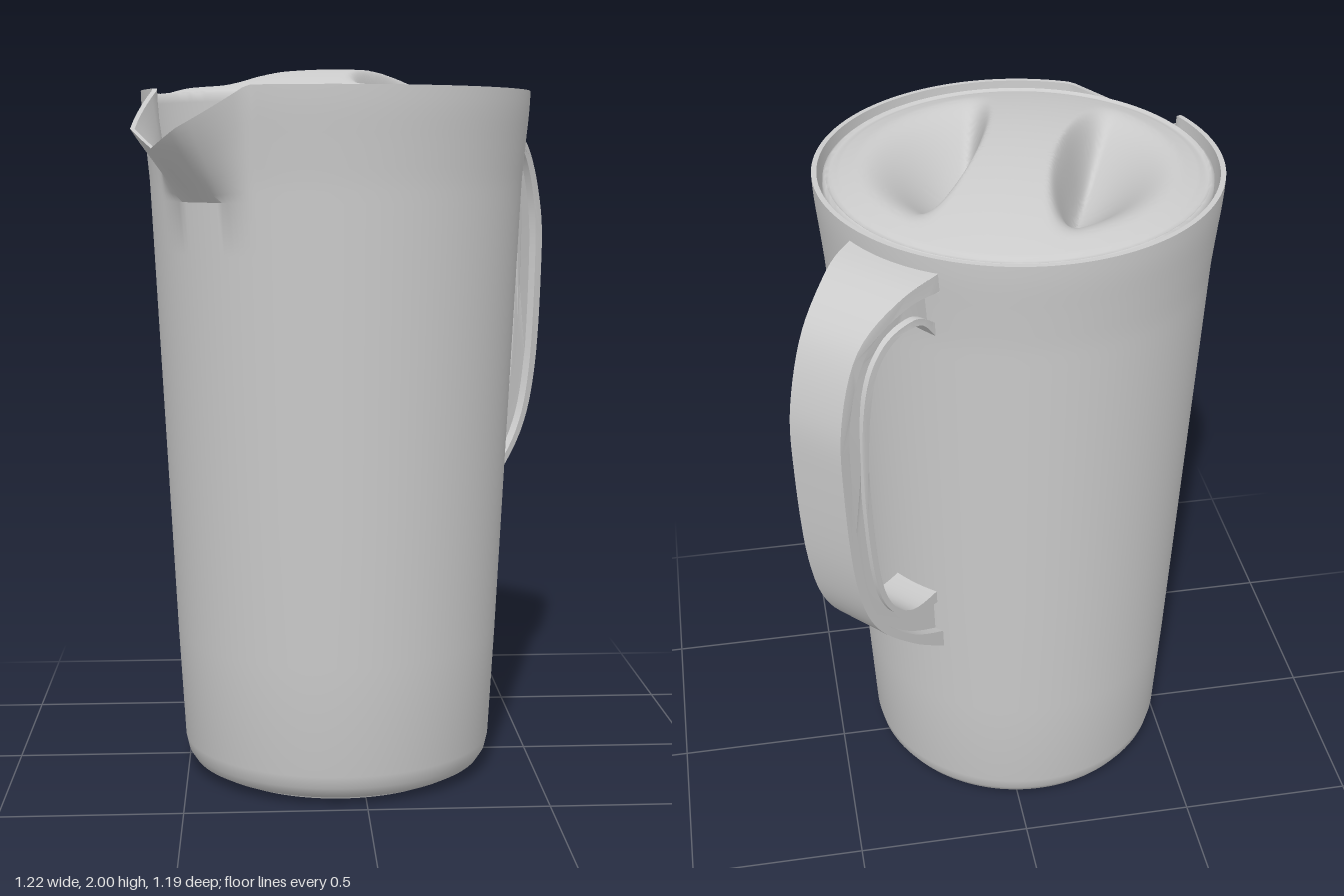
import * as THREE from 'three';
import { toCreasedNormals } from 'three/addons/utils/BufferGeometryUtils.js';

const V = (x, y) => new THREE.Vector2(x, y);
const { lerp, smoothstep, clamp } = THREE.MathUtils;
const TURN = 0.76; // handle and spout lie on one diagonal

function part(name, geometry, crease) {
  const material = new THREE.MeshStandardMaterial({ color: 0xcccccc, side: THREE.DoubleSide });
  const mesh = new THREE.Mesh(toCreasedNormals(geometry, crease), material);
  mesh.name = name;
  return mesh;
}

// Apply fn(vertex) to every vertex
function deform(geometry, fn) {
  const pos = geometry.attributes.position;
  const v = new THREE.Vector3();
  for (let i = 0; i < pos.count; i++) {
    fn(v.fromBufferAttribute(pos, i));
    pos.setXYZ(i, v.x, v.y, v.z);
  }
  geometry.computeVertexNormals();
  return geometry;
}

// Outer wall radius at height y: straight taper, then a flared collar
const wall = (y) => 0.442 + 0.083 * Math.min(y, 1.72) / 1.72
  + 0.02 * smoothstep(y, 1.68, 1.86) * (0.6 + 0.4 * smoothstep(y, 1.8, 1.94));

// Tapered jug with a foot ring, a thin lip and a beak drawn out of the collar
function jugBody() {
  const pts = [V(0, 0.012), V(0.335, 0.012), V(0.345, 0), V(0.36, 0), V(0.366, 0.012),
    V(0.395, 0.016), V(0.42, 0.03), V(0.436, 0.055), V(0.444, 0.09)];
  for (const y of [0.4, 0.8, 1.2, 1.5, 1.64]) pts.push(V(wall(y), y));
  for (let i = 1; i <= 10; i++) pts.push(V(wall(1.64 + i * 0.03), 1.64 + i * 0.03));
  for (let i = 10; i >= 0; i--) pts.push(V(wall(1.64 + i * 0.03) - 0.014, 1.64 + i * 0.03));
  const base = 1.64;
  const geo = deform(new THREE.LatheGeometry(pts, 192), (v) => {
    const angle = Math.abs(Math.atan2(v.z, -v.x));
    if (v.y < base || angle > 0.34) return;
    const t = (v.y - base) / 0.3;
    const k = clamp((0.34 - angle) / 0.21, 0, 1);        // 0 at beak root, 1 at tip
    const top = lerp(1.94, 1.83, k) - 0.05 * clamp(1 - angle / 0.13, 0, 1);
    const r = Math.hypot(v.x, v.z);
    const scale = (r + 0.135 * k * t) / r;
    v.set(v.x * scale, base + (top - base) * t, v.z * scale);
  });
  return part('jugBody', geo, 0.6);
}

// Domed lid with two scooped pockets leaving a central grip ridge
function lid() {
  const pts = [V(0.512, 1.64), V(0.518, 1.9), V(0.516, 1.922), V(0.508, 1.928),
    V(0.5, 1.922), V(0.49, 1.924)];
  for (let i = 55; i >= 0; i--) pts.push(V(0.48 * i / 55, 1.93));
  const geo = deform(new THREE.LatheGeometry(pts, 160), (v) => {
    const r = Math.hypot(v.x, v.z);
    if (r > 0.485) return;
    const edge = 0.095 + 0.05 * (v.z / 0.35) ** 2;
    const inner = smoothstep(Math.abs(v.x), edge, edge + 0.075);
    const outer = smoothstep(0.435 - r, 0, 0.29);
    v.y += 0.07 * (1 - (r / 0.48) ** 2) - 0.2 * inner * outer;
  });
  const mesh = part('lid', geo, 1);
  mesh.rotation.y = -0.368;
  return mesh;
}

// Handle outlines as (distance from jug axis, height)
const outerLine = new THREE.SplineCurve([V(0.515, 1.9), V(0.64, 1.875), V(0.775, 1.78), V(0.842, 1.6),
  V(0.848, 1.4), V(0.822, 1.1), V(0.754, 0.9), V(0.6, 0.73), V(0.445, 0.61)]);
const innerLine = new THREE.SplineCurve([V(0.515, 1.71), V(0.57, 1.765), V(0.66, 1.745), V(0.72, 1.64),
  V(0.735, 1.4), V(0.715, 1.08), V(0.67, 0.92), V(0.58, 0.835), V(0.455, 0.83)]);

// Slab of the given width between two fractions of the handle thickness
function handleStrip(name, from, to, width) {
  const line = (f) => Array.from({ length: 49 }, (_, i) =>
    innerLine.getPoint(i / 48).lerp(outerLine.getPoint(i / 48), f));
  const shape = new THREE.Shape([...line(to), ...line(from).reverse()]);
  const geo = new THREE.ExtrudeGeometry(shape, { depth: width, bevelEnabled: false });
  deform(geo, (v) => {
    const flare = (1 - smoothstep(v.x, 0.5, 0.84)) * smoothstep(v.y, 1.4, 1.65);
    v.z = (v.z - width / 2) * (1 + 0.7 * flare);
  });
  return part(name, geo, 0.6);
}

function handle() {
  const group = new THREE.Group();
  group.name = 'handle';
  group.add(handleStrip('handleWeb', 0.02, 0.98, 0.115));
  group.add(handleStrip('handleOuterFlange', 0.72, 1, 0.165));
  group.add(handleStrip('handleInnerFlange', 0, 0.2, 0.14));
  // Finger rib inside the grip
  const rib = new THREE.Shape([V(0.75, 1.66), V(0.75, 1.25)]);
  rib.splineThru([V(0.705, 1.32), V(0.695, 1.45), V(0.705, 1.58), V(0.75, 1.66)]);
  const ribGeo = new THREE.ExtrudeGeometry(rib, { depth: 0.05, bevelEnabled: false });
  group.add(part('fingerRib', ribGeo.translate(0, 0, -0.025), 0.6));
  return group;
}

export function createModel() {
  const model = new THREE.Group();
  model.name = 'pitcher';
  const diagonal = new THREE.Group();
  diagonal.name = 'jug';
  diagonal.add(jugBody(), handle());
  diagonal.rotation.y = TURN;
  const placed = new THREE.Group();
  placed.name = 'jugWithLid';
  placed.add(diagonal, lid());
  placed.position.set(-0.065, 0, 0.05);
  model.add(placed);
  return model;
}
